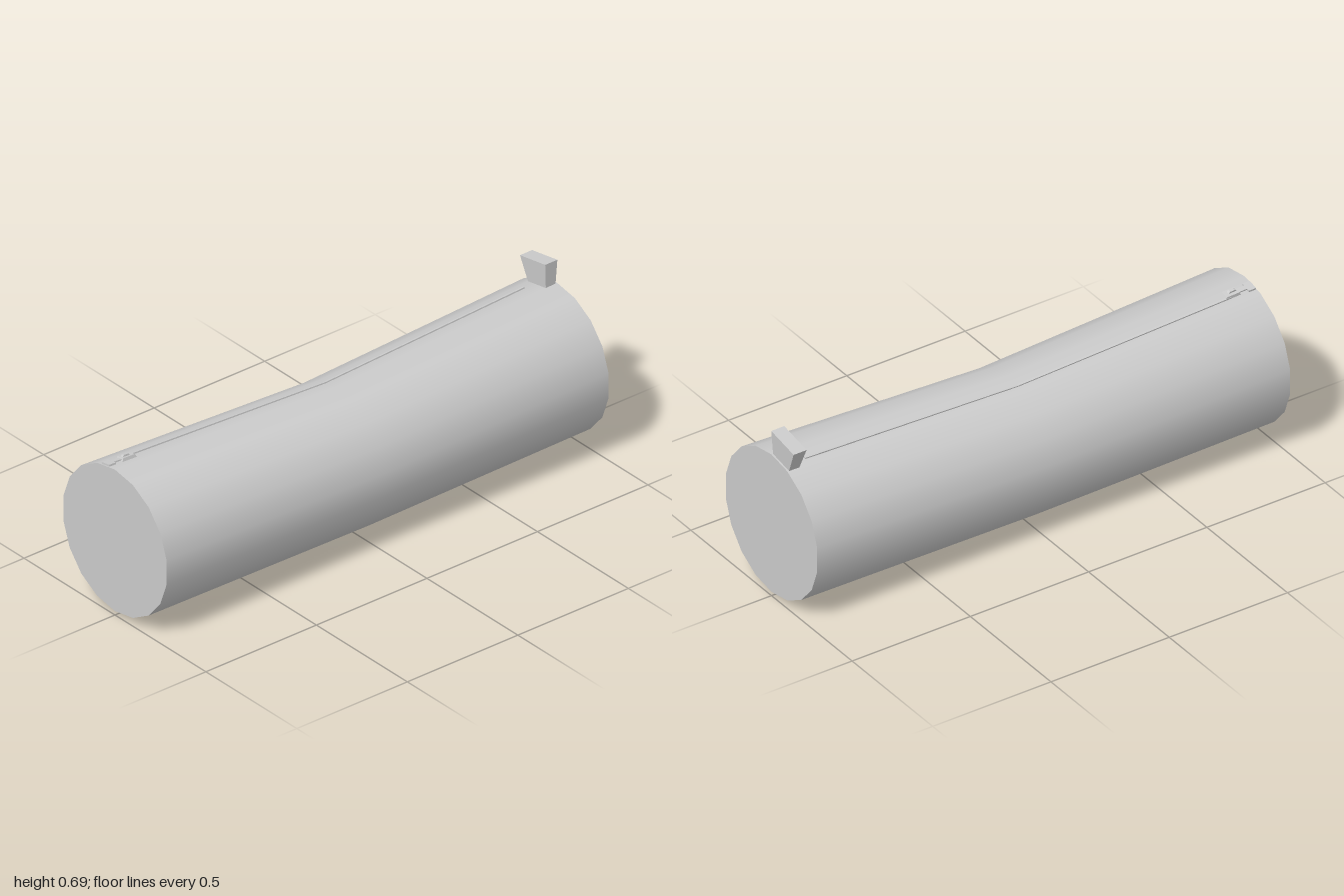
import * as THREE from 'three';

const SIDES = 18;
const END = { r: 0.288, y: 0.304 };
const MID = { r: 0.274, y: 0.274 };
const TILT = Math.PI / SIDES; // slope of the facet beside the top ridge
const SLOPE = Math.atan(END.r + END.y - MID.r - MID.y);

const material = new THREE.MeshStandardMaterial({ color: 0xcccccc });

// Body centre and radius along its length: it sags to the middle
const bodyAt = (x) => ({
  r: THREE.MathUtils.lerp(MID.r, END.r, Math.abs(x)),
  y: THREE.MathUtils.lerp(MID.y, END.y, Math.abs(x)),
});

// Height of the skin on the facet behind the top ridge
function skinY(x, z) {
  const { r, y } = bodyAt(x);
  return y + r + z * Math.tan(TILT);
}

function addMesh(parent, name, geometry) {
  const mesh = new THREE.Mesh(geometry, material);
  mesh.name = name;
  parent.add(mesh);
  return mesh;
}

// Box resting on the facet, its top scaled by (topX, topZ)
function addOnSkin(parent, name, size, x, z, lift = 0, topX = 1, topZ = 1) {
  const geometry = new THREE.BoxGeometry(...size);
  geometry.translate(0, size[1] / 2, 0);
  const p = geometry.attributes.position;
  for (let i = 0; i < p.count; i++) {
    if (p.getY(i) > size[1] / 2) {
      p.setX(i, p.getX(i) * topX);
      p.setZ(i, p.getZ(i) * topZ);
    }
  }
  geometry.computeVertexNormals();
  const mesh = addMesh(parent, name, geometry);
  mesh.position.set(x, skinY(x, z) + lift, z);
  mesh.rotation.set(-TILT, 0, Math.sign(x) * SLOPE);
  return mesh;
}

export function createModel() {
  const model = new THREE.Group();
  model.name = 'pouch';

  // Body: tube with a narrower, lower middle
  const tube = new THREE.CylinderGeometry(1, 1, 2, SIDES, 2, true, Math.PI / 2);
  tube.rotateZ(-Math.PI / 2);
  const p = tube.attributes.position;
  for (let i = 0; i < p.count; i++) {
    const { r, y } = bodyAt(p.getX(i));
    p.setY(i, p.getY(i) * r + y);
    p.setZ(i, p.getZ(i) * r);
  }
  addMesh(model, 'body', tube);

  // Ends: flat panel inside a narrow rim
  for (const side of [-1, 1]) {
    const end = new THREE.Group();
    end.name = side > 0 ? 'leftEnd' : 'rightEnd';
    end.position.set(side, END.y, 0);
    end.rotation.y = side * Math.PI / 2;
    addMesh(end, 'rim', new THREE.RingGeometry(0.279, END.r, SIDES, 1, Math.PI / 2));
    addMesh(end, 'panel', new THREE.CircleGeometry(0.279, SIDES, Math.PI / 2));
    model.add(end);
  }

  // Zip: thin raised strip in two straight runs
  const zip = new THREE.Group();
  zip.name = 'zip';
  for (const [x0, x1] of [[-0.9, 0], [0, 0.905]]) {
    addOnSkin(zip, 'zipStrip', [x1 - x0, 0.006, 0.009], (x0 + x1) / 2, -0.062, -0.001);
  }

  // Zip slider with its bridge and pull tab
  addOnSkin(zip, 'sliderBody', [0.065, 0.012, 0.036], -0.905, -0.052, 0, 0.8, 0.9);
  addOnSkin(zip, 'sliderBridge', [0.035, 0.008, 0.012], -0.91, -0.052, 0.011, 0.6, 1);
  addOnSkin(zip, 'pullLink', [0.04, 0.005, 0.02], -0.95, -0.054, 0.003);
  addOnSkin(zip, 'pullTab', [0.03, 0.007, 0.042], -0.982, -0.055, 0.001);
  model.add(zip);

  // Finger tab flaring upward at the left end
  const tab = addOnSkin(model, 'fingerTab', [0.044, 0.096, 0.1], 0.971, -0.049, -0.001, 1.25, 1.41);
  tab.rotation.z = 0;

  return model;
}
